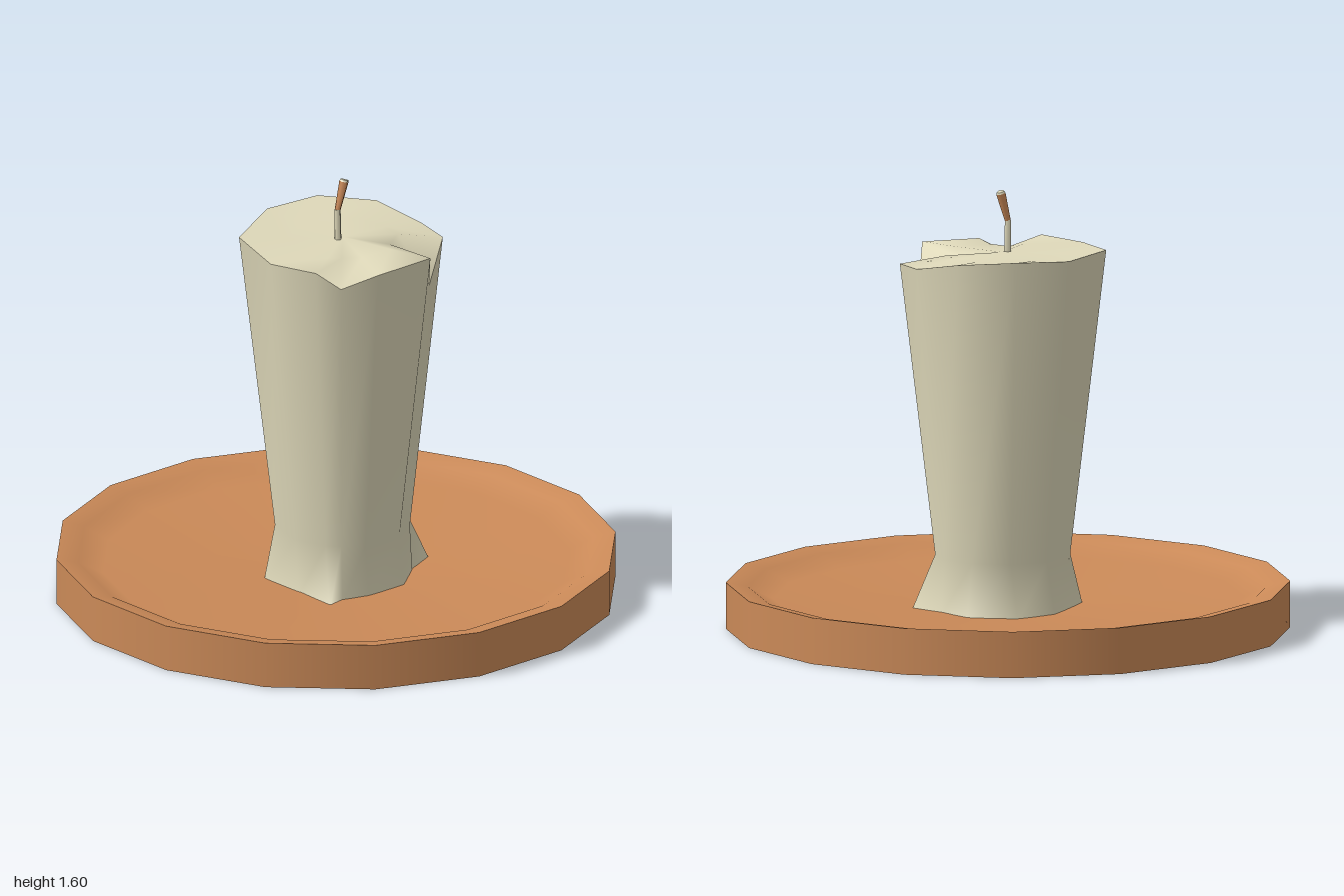
import * as THREE from 'three';

const wood = new THREE.MeshStandardMaterial({ color: 0xcb8a58 });
wood.name = 'terracotta';
const wax = new THREE.MeshStandardMaterial({ color: 0xdfd9ba });
wax.name = 'cream wax';

const CENTRE_Z = 0.035;

function add(parent, name, geometry, material) {
  const mesh = new THREE.Mesh(geometry, material);
  mesh.name = name;
  parent.add(mesh);
  return mesh;
}

// 16-sided surface of revolution with flats facing the axes
function turned(points) {
  return new THREE.LatheGeometry(points.map(p => new THREE.Vector2(...p)), 16, Math.PI / 16);
}

// Smooth skin over closed rings, bottom to top, with an optional closing point
function skin(rings, cap) {
  const n = rings[0].length;
  const pos = rings.flat(2);
  const index = [];
  for (let r = 0; r < rings.length - 1; r++) {
    for (let i = 0; i < n; i++) {
      const a = r * n + i, b = r * n + (i + 1) % n;
      index.push(b, a, a + n, b, a + n, b + n);
    }
  }
  if (cap) {
    const last = (rings.length - 1) * n, tip = rings.length * n;
    pos.push(...cap);
    for (let i = 0; i < n; i++) index.push(last + (i + 1) % n, last + i, tip);
  }
  const g = new THREE.BufferGeometry();
  g.setAttribute('position', new THREE.Float32BufferAttribute(pos, 3));
  g.setIndex(index);
  g.computeVertexNormals();
  return g;
}

// Straight wick piece between two points
function wickPiece(from, to, r0, r1) {
  const a = new THREE.Vector3(...from), b = new THREE.Vector3(...to);
  const d = b.clone().sub(a);
  const g = new THREE.CylinderGeometry(r1, r0, d.length(), 5);
  g.applyQuaternion(new THREE.Quaternion().setFromUnitVectors(new THREE.Vector3(0, 1, 0), d.normalize()));
  const m = a.add(b).multiplyScalar(0.5);
  return g.translate(m.x, m.y, m.z);
}

export function createModel() {
  const model = new THREE.Group();
  model.name = 'candleOnDish';

  // Shallow dish
  const dish = new THREE.Group();
  dish.name = 'dish';
  model.add(dish);
  add(dish, 'dishWall', turned([[1.02, 0], [1.02, 0.17]]), wood);
  add(dish, 'dishBowl', turned([[1.02, 0.17], [0.94, 0.155], [0.85, 0.11], [0, 0.07]]), wood);
  add(dish, 'dishUnderside', turned([[0, 0], [1.02, 0]]), wood);

  // Candle spokes: rim x, y, z, then foot x, z; low rim points are melted notches
  const spokes = [
    [-0.04, 1.39, -0.33, -0.04, -0.24],
    [0.17, 1.40, -0.29, 0.13, -0.25],
    [0.32, 1.385, -0.14, 0.27, -0.13],
    [0.36, 1.345, 0.06, 0.28, 0.02],
    [0.33, 1.34, 0.21, 0.33, 0.14],
    [0.21, 1.20, 0.27, 0.20, 0.19],
    [0.10, 1.37, 0.40, 0.07, 0.29],
    [-0.14, 1.36, 0.385, -0.10, 0.29],
    [-0.23, 1.30, 0.285, -0.20, 0.26],
    [-0.32, 1.375, 0.25, -0.28, 0.28],
    [-0.37, 1.37, 0.06, -0.26, 0.09],
    [-0.30, 1.385, -0.19, -0.26, -0.10],
  ];
  const foot = spokes.map(s => [s[3], 0.07, s[4]]);
  const neck = spokes.map(([x, , z]) => {
    const k = 0.245 / Math.hypot(x, z - CENTRE_Z);
    return [x * k, 0.27, CENTRE_Z + (z - CENTRE_Z) * k];
  });
  const rim = spokes.map(s => s.slice(0, 3));
  const inner = spokes.map(([x, y, z]) => [x * 0.55, 1.37 + (y - 1.37) * 0.1, CENTRE_Z + (z - CENTRE_Z) * 0.55]);

  const candle = new THREE.Group();
  candle.name = 'candle';
  model.add(candle);
  add(candle, 'candleSide', skin([foot, neck, rim]), wax);
  add(candle, 'candleTop', skin([rim, inner], [0, 1.375, CENTRE_Z]), wax);

  // Bent wick: waxed stem, burnt end, pale tip
  const wick = new THREE.Group();
  wick.name = 'wick';
  model.add(wick);
  add(wick, 'wickStem', wickPiece([-0.025, 1.35, 0.04], [-0.028, 1.49, 0.04], 0.013, 0.012), wax);
  add(wick, 'wickEnd', wickPiece([-0.028, 1.485, 0.04], [0.002, 1.59, 0.042], 0.011, 0.018), wood);
  add(wick, 'wickTip', wickPiece([0.002, 1.59, 0.042], [0.004, 1.597, 0.042], 0.018, 0.015), wax);

  return model;
}
